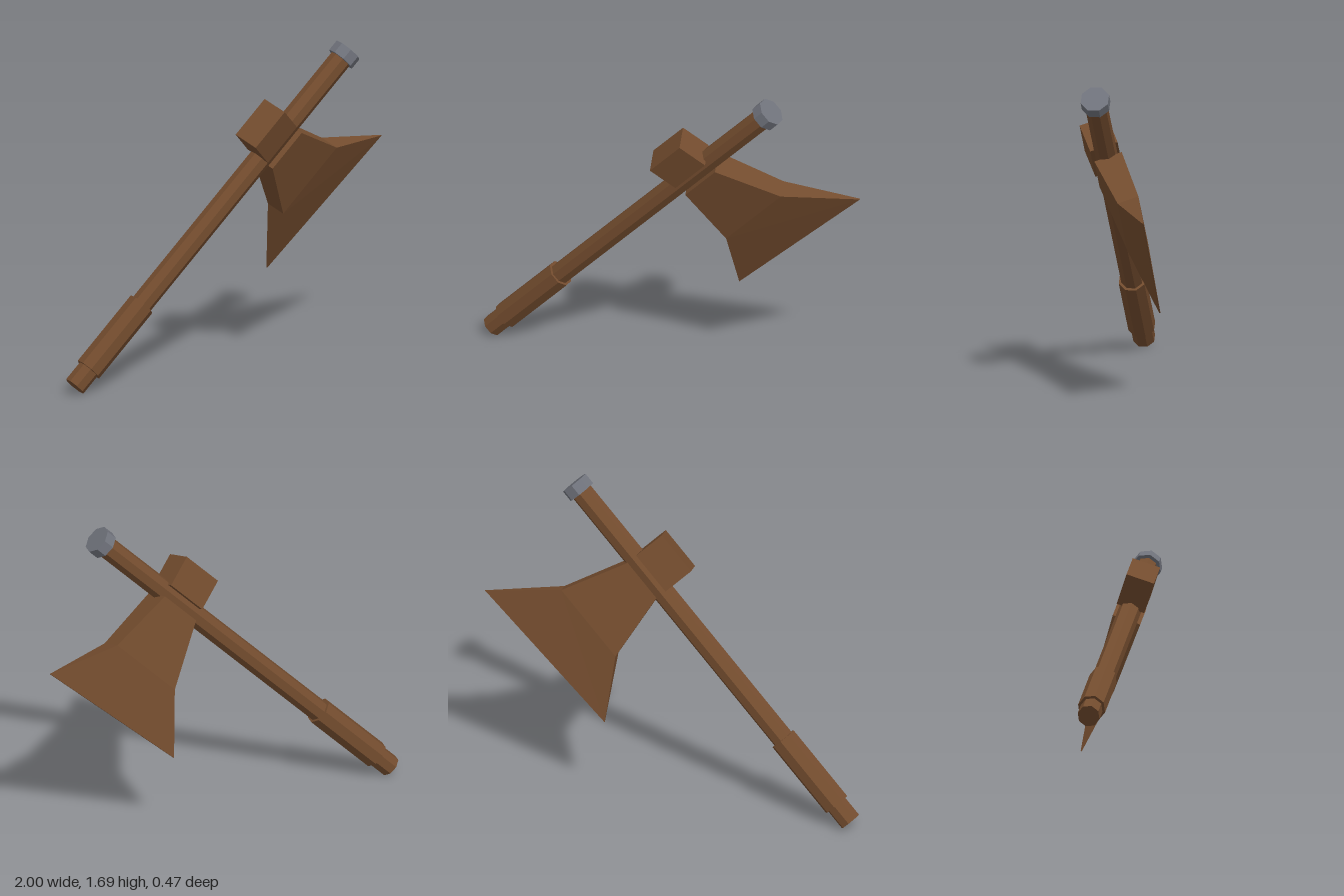
import * as THREE from 'three';

const wood = new THREE.MeshStandardMaterial({ color: 0x734c2e, flatShading: true });
wood.name = 'brownWood';
const metal = new THREE.MeshStandardMaterial({ color: 0x70737c, flatShading: true });
metal.name = 'greyMetal';

// Octagonal bar along y, flats facing x and z
function octagonBar(name, apothem, from, to, material) {
  const r = apothem / Math.cos(Math.PI / 8);
  const geo = new THREE.CylinderGeometry(r, r, to - from, 8, 1, false, Math.PI / 8);
  const mesh = new THREE.Mesh(geo, material);
  mesh.name = name;
  mesh.position.y = (from + to) / 2;
  return mesh;
}

// Closed solid through rectangular sections: bottom [x, y], top [x, y], half thickness
function loftBlade(sections) {
  const rings = sections.map(([xb, yb, xt, yt, h]) => [
    [xb, yb, h], [xt, yt, h], [xt, yt, -h], [xb, yb, -h],
  ]);
  const pos = [];
  const quad = (a, b, c, d) => pos.push(...a, ...b, ...c, ...a, ...c, ...d);
  for (let i = 0; i < rings.length - 1; i++) {
    const r = rings[i], s = rings[i + 1];
    for (let k = 0; k < 4; k++) {
      const n = (k + 1) % 4;
      quad(r[k], s[k], s[n], r[n]);
    }
  }
  const first = rings[0], last = rings[rings.length - 1];
  quad(first[0], first[1], first[2], first[3]);
  quad(last[3], last[2], last[1], last[0]);
  const geo = new THREE.BufferGeometry();
  geo.setAttribute('position', new THREE.Float32BufferAttribute(pos, 3));
  geo.computeVertexNormals();
  return geo;
}

export function createModel() {
  const model = new THREE.Group();
  model.name = 'axe';

  // Built upright from the butt end, then tilted 45 degrees
  const axe = new THREE.Group();
  axe.name = 'tiltedAxe';
  axe.position.set(-0.96, 0.042, 0.078);
  axe.rotation.z = -Math.PI / 4;
  model.add(axe);

  axe.add(octagonBar('handle', 0.054, 0, 2.21, wood));
  axe.add(octagonBar('grip', 0.067, 0.113, 0.552, wood));
  axe.add(octagonBar('endCap', 0.071, 2.198, 2.26, metal));

  // Head, turned about the handle
  const head = new THREE.Group();
  head.name = 'head';
  head.position.y = 1.65;
  head.rotation.y = THREE.MathUtils.degToRad(25.2);
  axe.add(head);

  const block = new THREE.Mesh(new THREE.BoxGeometry(0.173, 0.24, 0.15), wood);
  block.name = 'hammerBlock';
  block.position.x = -0.1135;
  head.add(block);

  // Blade: root, flare and thin cutting edge
  const blade = new THREE.Mesh(loftBlade([
    [0.04, -0.12, 0.04, 0.12, 0.075],
    [0.4, -0.223, 0.4, 0.22, 0.057],
    [0.677, -0.458, 0.727, 0.461, 0.003],
  ]), wood);
  blade.name = 'blade';
  head.add(blade);

  return model;
}
